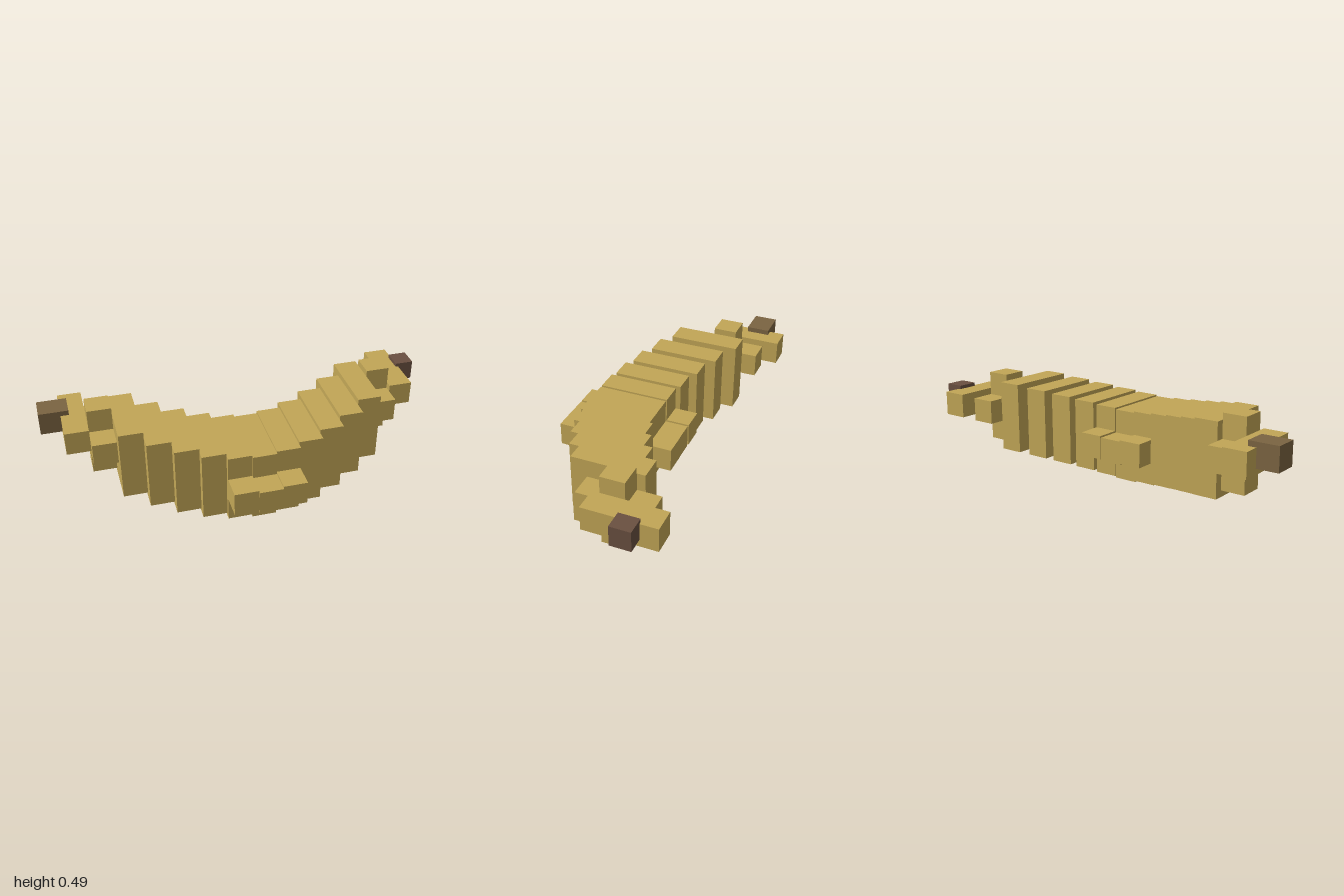
import * as THREE from 'three';

const CELL = 0.1207;   // edge of one block
const MID_X = 0.0135;  // centre of the middle slice

// Slices from the middle outward: centre height, centre depth, block layout
const SLICES = [
  { y: 0.182, z: 0.122, form: 'belly' },
  { y: 0.191, z: 0.116, form: 'belly' },
  { y: 0.206, z: 0.09, form: 'full' },
  { y: 0.226, z: 0.046, form: 'full' },
  { y: 0.25, z: -0.011, form: 'full' },
  { y: 0.279, z: -0.081, form: 'full' },
  { y: 0.311, z: -0.16, form: 'cross' },
  { y: 0.345, z: -0.244, form: 'bar' },
];

// Each layout lists boxes as [height in cells, depth in cells, depth offset in cells]
const FORMS = {
  full: [[3, 3, 0]],
  belly: [[3, 3, 0], [1, 1, 2], [1, 1, -2]],
  cross: [[3, 1, 0], [1, 1, 1], [1, 1, -1]],
  bar: [[1, 3, 0]],
};

export function createModel() {
  const peel = new THREE.MeshStandardMaterial({ color: 0xc2a656 });
  peel.name = 'yellowPeel';
  const stemBrown = new THREE.MeshStandardMaterial({ color: 0x7b6441 });
  stemBrown.name = 'stemBrown';
  const tipBrown = new THREE.MeshStandardMaterial({ color: 0x6a5040 });
  tipBrown.name = 'tipBrown';

  const model = new THREE.Group();
  model.name = 'banana';

  function box(parent, name, material, size, position) {
    const mesh = new THREE.Mesh(new THREE.BoxGeometry(...size), material);
    mesh.position.set(...position);
    mesh.name = name;
    parent.add(mesh);
  }

  // Curved fruit: slices mirrored about the middle one
  const fruit = new THREE.Group();
  fruit.name = 'fruit';
  model.add(fruit);
  SLICES.forEach(({ y, z, form }, i) => {
    for (const side of i === 0 ? [1] : [1, -1]) {
      const x = MID_X + side * i * CELL;
      for (const [high, deep, offset] of FORMS[form]) {
        box(fruit, 'peelBlock', peel, [CELL, high * CELL, deep * CELL], [x, y, z + offset * CELL]);
      }
    }
  });

  // Stem on the right end, blossom tip on the left end
  box(model, 'stem', stemBrown, [0.15, 0.118, 0.118], [-0.925, 0.372, -0.288]);
  box(model, 'blossomTip', tipBrown, [0.095, 0.102, 0.102], [0.9525, 0.372, -0.287]);

  return model;
}
